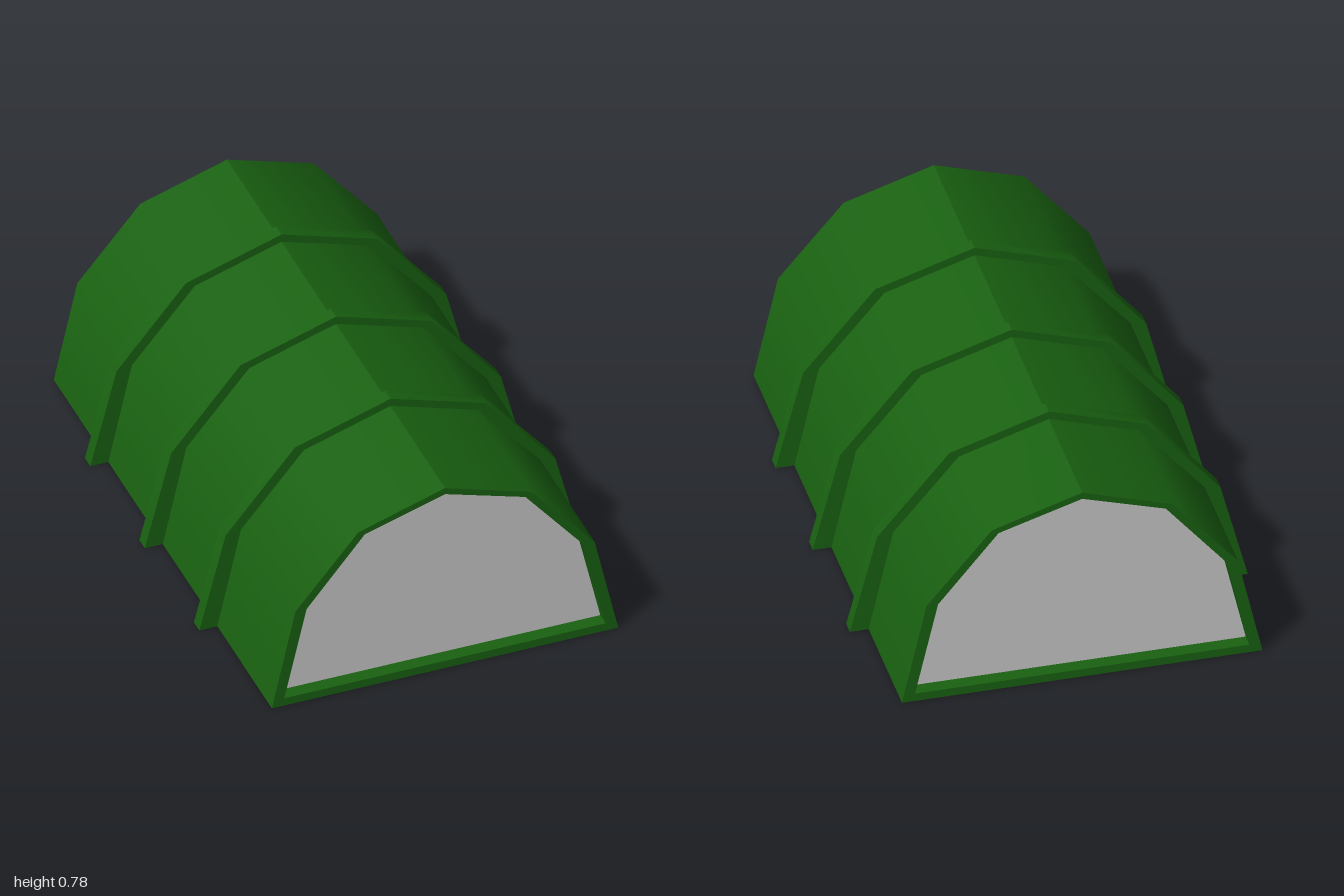
import * as THREE from 'three';
import { toCreasedNormals } from 'three/addons/utils/BufferGeometryUtils.js';

const green = new THREE.MeshStandardMaterial({ color: 0x196111 });
const grey = new THREE.MeshStandardMaterial({ color: 0xcccccc });

// Right half of each arch, from the foot up to the ridge
const OUTER = [[0.625, 0], [0.54, 0.38], [0.313, 0.65], [0, 0.75]];
const INNER = [[0.58, 0.03], [0.5, 0.38], [0.29, 0.635], [0, 0.725]];
const RIB = [[0.69, 0], [0.595, 0.37], [0.345, 0.67], [0, 0.78]];

// Full arch outline, mirrored across x = 0
function archPoints(half) {
  const mirrored = half.slice(0, -1).reverse().map(([x, y]) => [-x, y]);
  return [...half, ...mirrored].map(([x, y]) => new THREE.Vector2(x, y));
}

// Extrudes a shape from z0 to z1, smooth over the arch and sharp at the ridge
function extrude(name, shape, z0, z1, material) {
  const geometry = new THREE.ExtrudeGeometry(shape, { depth: z1 - z0, bevelEnabled: false });
  geometry.translate(0, 0, z0);
  const mesh = new THREE.Mesh(toCreasedNormals(geometry, 0.58), material);
  mesh.name = name;
  return mesh;
}

export function createModel() {
  const group = new THREE.Group();
  group.name = 'archedTent';

  // Hollow tent body with a thin floor
  const body = new THREE.Shape(archPoints(OUTER));
  body.holes.push(new THREE.Path(archPoints(INNER)));
  group.add(extrude('tentShell', body, -1, 1, green));

  // Recessed end walls
  const wall = new THREE.Shape(archPoints(INNER));
  group.add(extrude('frontWall', wall, 0.93, 0.95, grey));
  group.add(extrude('backWall', wall, -0.95, -0.93, grey));

  // Raised ribs that straddle the shell
  const ribShape = new THREE.Shape([
    ...archPoints(RIB),
    ...archPoints(OUTER).reverse(),
  ]);
  [0.45, -0.05, -0.55].forEach((z, i) => {
    group.add(extrude('rib' + (i + 1), ribShape, z, z + 0.05, green));
  });

  return group;
}
